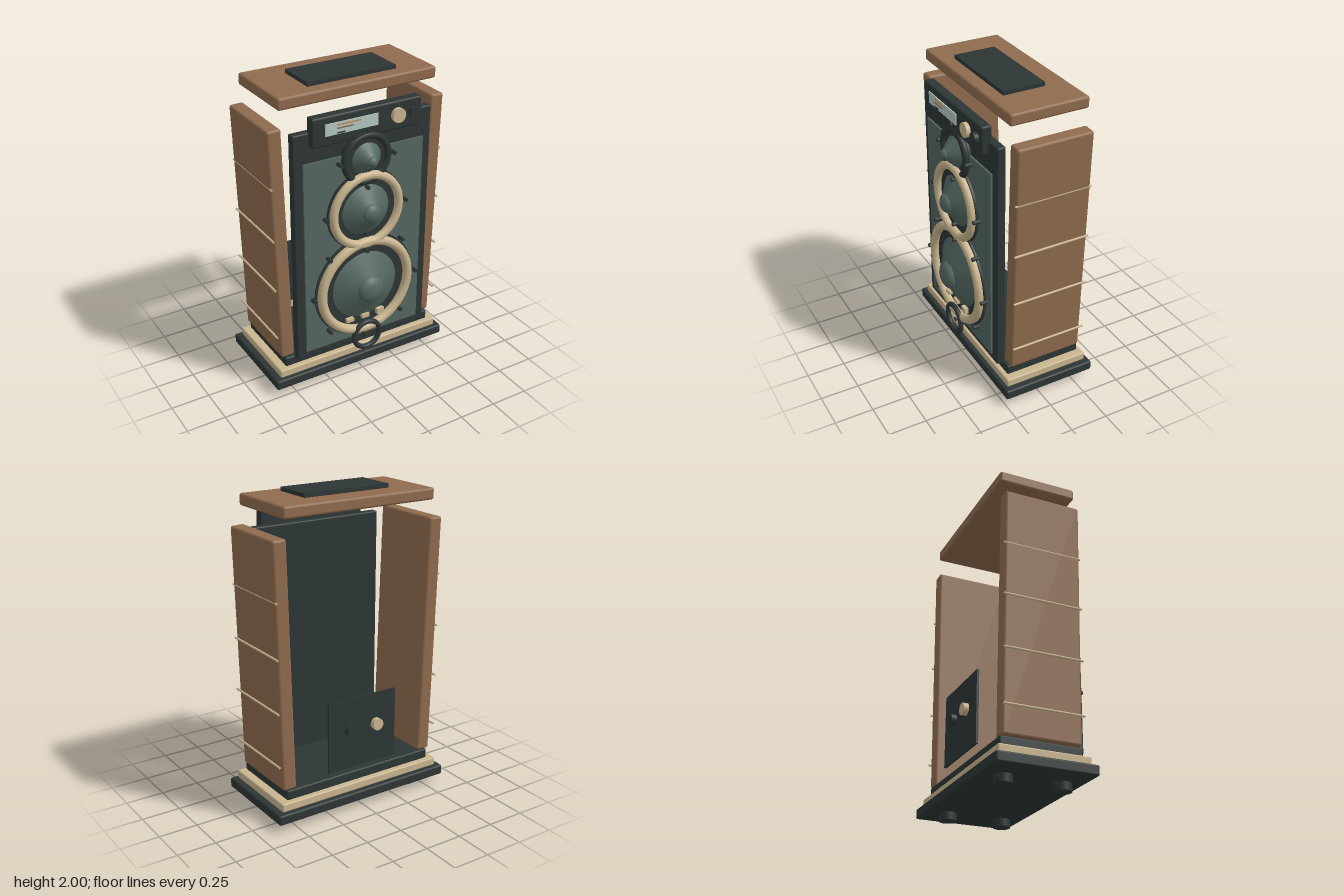
import * as THREE from 'three';
import { RoundedBoxGeometry } from 'three/addons/geometries/RoundedBoxGeometry.js';

const mat = (name, color) => {
  const m = new THREE.MeshStandardMaterial({ color });
  m.name = name;
  return m;
};

export function createModel() {
  const wood = mat('walnut', 0x8f6b4e);
  const dark = mat('charcoal', 0x2d3635);
  const green = mat('sage', 0x546761);
  const cream = mat('cream', 0xc9b58f);
  const glass = mat('display', 0xb4c8c3);
  const amber = mat('amber', 0xb98a52);

  const root = new THREE.Group();
  root.name = 'speaker';

  const add = (name, geo, material, x, y, z, parent = root) => {
    const m = new THREE.Mesh(geo, material);
    m.name = name;
    m.position.set(x, y, z);
    parent.add(m);
    return m;
  };
  // Box given by its limits on each axis, with an optional rounded edge
  const block = (name, material, [x0, x1], [y0, y1], [z0, z1], r = 0, parent = root) => {
    const s = [x1 - x0, y1 - y0, z1 - z0];
    const geo = r ? new RoundedBoxGeometry(...s, 2, r) : new THREE.BoxGeometry(...s);
    return add(name, geo, material, (x0 + x1) / 2, (y0 + y1) / 2, (z0 + z1) / 2, parent);
  };
  // Cylinder along z from z0 to z1
  const disc = (name, material, r, x, y, z0, z1, parent = root, seg = 32) => {
    const geo = new THREE.CylinderGeometry(r, r, Math.abs(z1 - z0), seg).rotateX(Math.PI / 2);
    return add(name, geo, material, x, y, (z0 + z1) / 2, parent);
  };

  // Stepped base and feet
  block('basePlate', dark, [-0.63, 0.63], [0.05, 0.115], [-0.38, 0.248], 0.012);
  block('baseTrim', cream, [-0.59, 0.59], [0.115, 0.17], [-0.35, 0.222], 0.01);
  block('plinth', dark, [-0.54, 0.54], [0.17, 0.235], [-0.32, 0.195], 0.01);
  for (const x of [-0.42, 0.42]) for (const z of [-0.245, 0.12])
    add('foot', new THREE.CylinderGeometry(0.055, 0.055, 0.05, 24), dark, x, 0.025, z);

  // Leaning side panels with thin rods
  for (const s of [-1, 1]) {
    const side = new THREE.Group();
    side.name = s > 0 ? 'leftSide' : 'rightSide';
    root.add(side);
    const panel = add('sidePanel', new RoundedBoxGeometry(0.092, 1.555, 0.495, 2, 0.016), wood,
      s * 0.537, 1.013, -0.067, side);
    panel.rotation.z = -s * 0.029;
    for (const y of [0.405, 0.748, 1.087, 1.428])
      add('sideRod', new THREE.CylinderGeometry(0.007, 0.007, 0.505, 10).rotateX(Math.PI / 2), cream,
        s * 0.59, y, -0.067, side);
  }

  // Floating lid
  block('lid', wood, [-0.535, 0.535], [1.9, 1.975], [-0.32, 0.19], 0.016);
  block('lidInset', dark, [-0.3, 0.3], [1.972, 2], [-0.167, 0.103]);

  // Front baffle
  block('baffle', dark, [-0.475, 0.475], [0.22, 1.755], [0.18, 0.235], 0.01);
  block('bafflePanel', green, [-0.415, 0.415], [0.272, 1.568], [0.23, 0.247]);

  // Drivers: flange, ring, cone, dust cap and screws
  const driver = (name, y, d) => {
    const g = new THREE.Group();
    g.name = name;
    g.position.y = y;
    root.add(g);
    disc('flange', dark, d.flange, 0, 0, 0.23, d.flangeZ, g, 64);
    add('ring', new THREE.TorusGeometry(d.ring, d.tube, 16, 64), d.ringMat, 0, 0, d.ringZ, g);
    const depth = 0.33 - d.coneZ;
    add('cone', new THREE.CylinderGeometry(d.cap, d.cone, depth, 64).rotateX(Math.PI / 2), green,
      0, 0, d.coneZ + depth / 2, g);
    const cap = add('dustCap', new THREE.SphereGeometry(d.cap, 32, 16), green, 0, 0, 0.32, g);
    cap.scale.z = (d.tip - 0.32) / d.cap;
    for (let i = 0; i < d.screws; i++) {
      const a = (i / d.screws) * Math.PI * 2;
      disc('screw', dark, 0.013, Math.cos(a) * d.screwR, Math.sin(a) * d.screwR, 0.24, 0.293, g, 12);
    }
  };
  driver('woofer', 0.65, { flange: 0.355, flangeZ: 0.258, ring: 0.314, tube: 0.03, ringMat: cream, ringZ: 0.272,
    cone: 0.25, coneZ: 0.248, cap: 0.095, tip: 0.38, screws: 8, screwR: 0.37 });
  driver('midrange', 1.185, { flange: 0.265, flangeZ: 0.262, ring: 0.231, tube: 0.027, ringMat: cream, ringZ: 0.274,
    cone: 0.178, coneZ: 0.252, cap: 0.065, tip: 0.368, screws: 4, screwR: 0.28 });
  driver('tweeter', 1.525, { flange: 0.165, flangeZ: 0.265, ring: 0.148, tube: 0.023, ringMat: dark, ringZ: 0.264,
    cone: 0.102, coneZ: 0.262, cap: 0.036, tip: 0.358, screws: 4, screwR: 0.185 });

  // Small tabs on the lower woofer cone
  [[-0.115, 0.024], [-0.003, 0.028], [0.11, 0.038]].forEach(([x, h]) =>
    block('wooferTab', cream, [x - 0.026, x + 0.026], [0.427 - h / 2, 0.427 + h / 2], [0.25, 0.285]));

  // Pull ring at the foot of the baffle
  add('pullRing', new THREE.TorusGeometry(0.094, 0.017, 14, 48), dark, 0, 0.293, 0.294);

  // Control panel with display and knobs
  block('controlPanel', dark, [-0.372, 0.372], [1.67, 1.85], [0.213, 0.28], 0.012);
  block('display', glass, [-0.29, 0.065], [1.732, 1.805], [0.279, 0.287]);
  [[-0.21, -0.055, 1.79, amber], [-0.21, -0.105, 1.769, wood], [-0.21, -0.16, 1.741, dark]].forEach(
    ([x0, x1, y, m]) => block('displayLine', m, [x0, x1], [y - 0.004, y + 0.004], [0.286, 0.29]));
  disc('dialKnob', cream, 0.045, 0.2, 1.765, 0.275, 0.306);
  disc('smallKnob', dark, 0.033, 0.312, 1.765, 0.275, 0.306);

  // Rear terminal plate
  block('terminalPlate', dark, [-0.25, 0.25], [0.28, 0.74], [-0.34, -0.325]);
  disc('terminalCream', cream, 0.038, -0.1, 0.537, -0.335, -0.373);
  disc('terminalDark', dark, 0.038, 0.095, 0.537, -0.335, -0.373);

  // Centre the depth
  root.children.forEach((c) => { c.position.z += 0.0; });
  return root;
}
